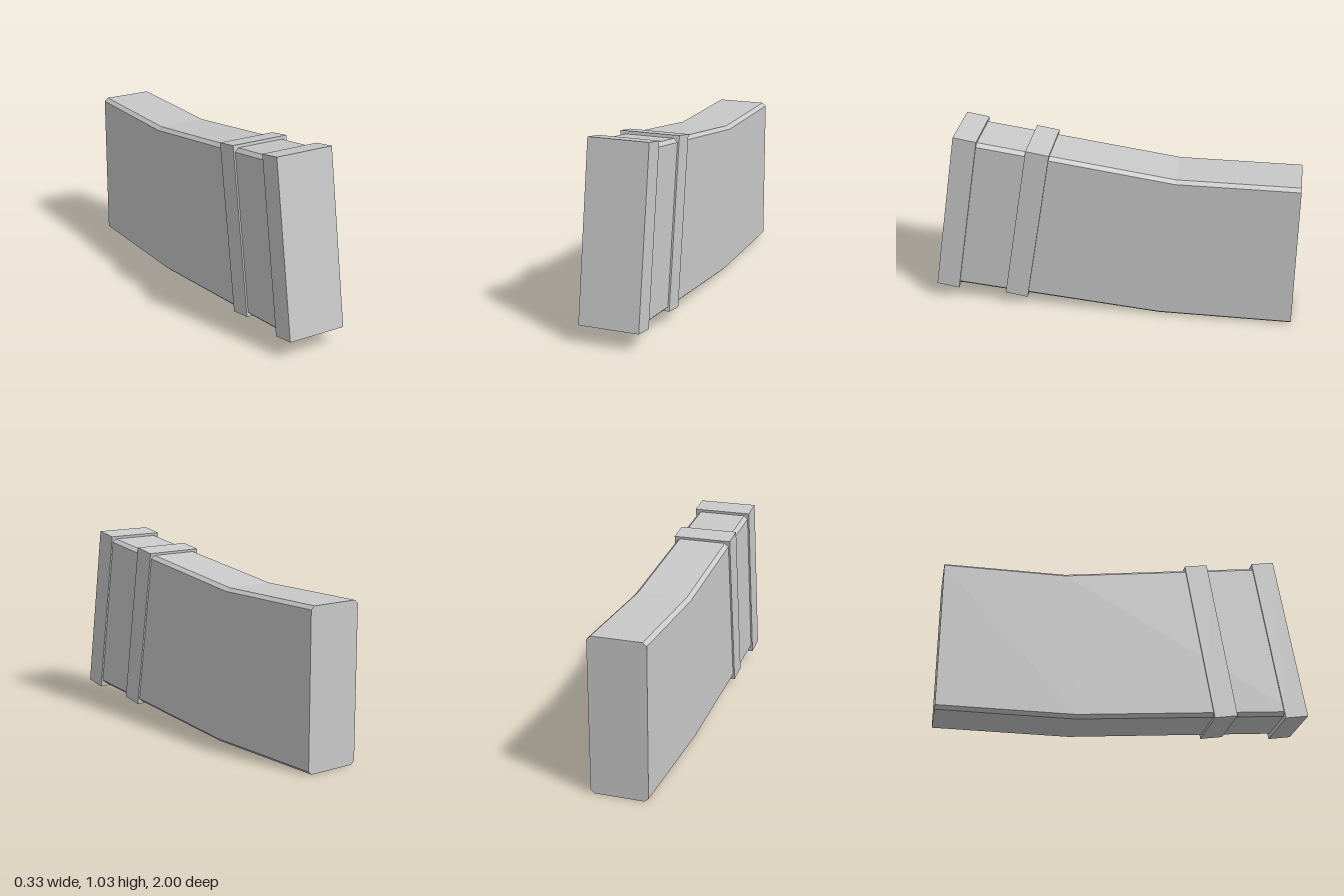
import * as THREE from 'three';

// Chamfered rectangular ring between a bottom and a top point, counterclockwise seen from +z
function ring([zb, yb], [zt, yt]) {
  const wide = 0.154, narrow = 0.133, c = 0.021;
  const outline = [
    [narrow, 0], [wide, c], [wide, 1 - c], [narrow, 1],
    [-narrow, 1], [-wide, 1 - c], [-wide, c], [-narrow, 0],
  ];
  return outline.map(([x, t]) => [x, yb + (yt - yb) * t, zb + (zt - zb) * t]);
}

// Flat-faced solid through rings ordered from back to front
function loft(rings) {
  const n = rings[0].length;
  const points = [];
  const tri = (a, b, c) => points.push(...a, ...b, ...c);
  for (let i = 0; i < rings.length - 1; i++) {
    for (let k = 0; k < n; k++) {
      const k2 = (k + 1) % n;
      const a = rings[i][k], b = rings[i][k2], c = rings[i + 1][k2], d = rings[i + 1][k];
      tri(a, b, c);
      tri(a, c, d);
    }
  }
  const back = rings[0], front = rings[rings.length - 1];
  for (let k = 1; k < n - 1; k++) {
    tri(back[0], back[k + 1], back[k]);
    tri(front[0], front[k], front[k + 1]);
  }
  const geometry = new THREE.BufferGeometry();
  geometry.setAttribute('position', new THREE.Float32BufferAttribute(points, 3));
  geometry.computeVertexNormals();
  return geometry;
}

export function createModel() {
  const group = new THREE.Group();
  const grey = new THREE.MeshStandardMaterial({ color: 0xc8c8c8 });
  grey.name = 'light grey';

  // Bent body with chamfered long edges
  const body = new THREE.Mesh(loft([
    ring([-1, 0], [-1, 0.847]),
    ring([-0.265, 0], [-0.34, 0.847]),
    ring([0.93, 0.105], [0.78, 0.999]),
  ]), grey);
  body.name = 'body';
  group.add(body);

  // Tilted end plate and raised band
  const addBand = (name, height, y, z) => {
    const band = new THREE.Mesh(new THREE.BoxGeometry(0.326, height, 0.127), grey);
    band.name = name;
    band.position.set(0, y, z);
    band.rotation.x = -0.16;
    group.add(band);
  };
  addBand('endPlate', 0.94, 0.553, 0.862);
  addBand('raisedBand', 0.912, 0.512, 0.469);

  return group;
}
